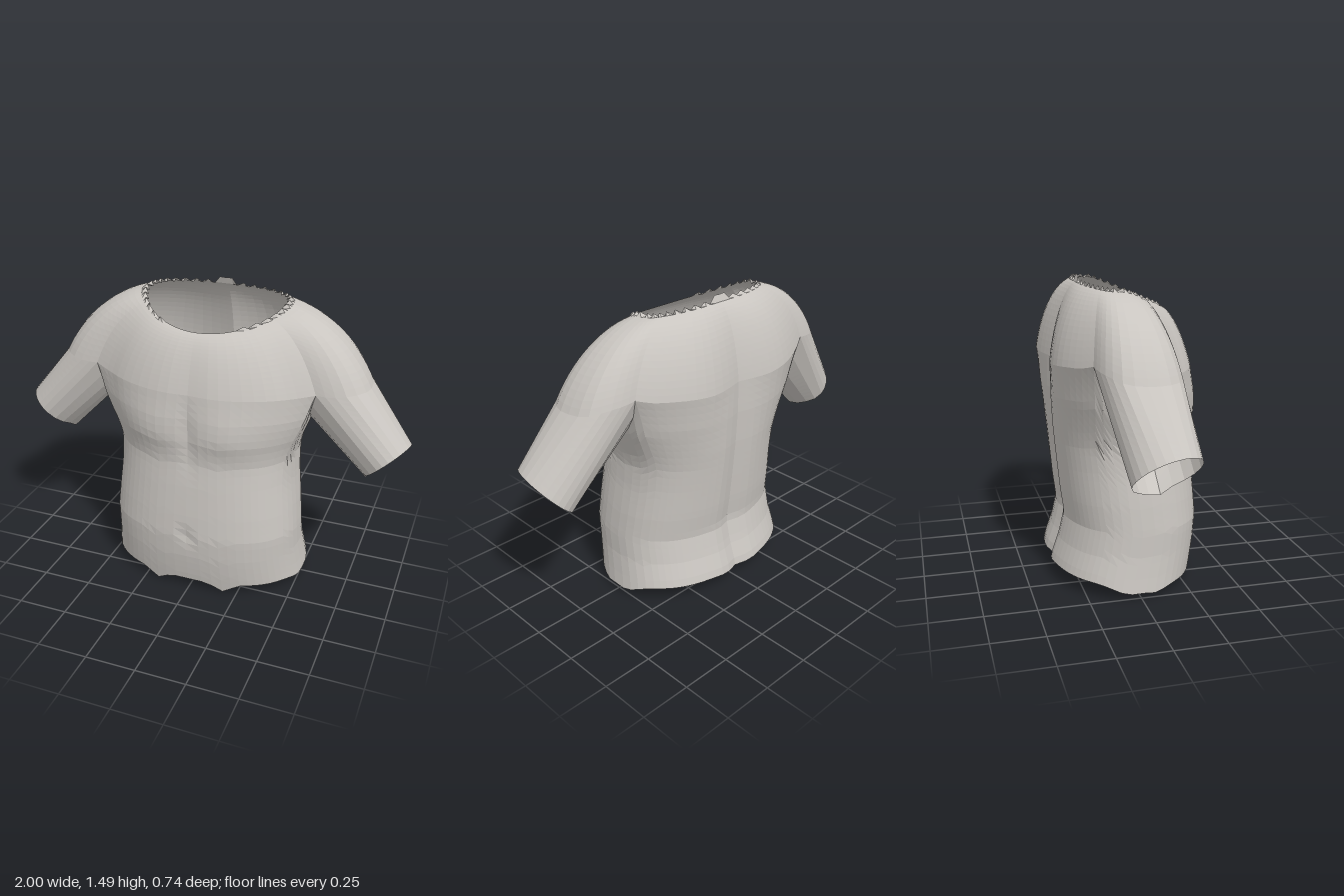
import * as THREE from 'three';

const V = (x, y, z) => new THREE.Vector3(x, y, z);
const curve = (pts, n) => new THREE.CatmullRomCurve3(pts.map(p => V(...p))).getPoints(n);
const lerp = THREE.MathUtils.lerp;
const bell = (d, w) => Math.exp(-(d * d) / (w * w));
const spow = (v, p) => Math.sign(v) * Math.abs(v) ** p;

const FRONT = 12, SIDE = 8, OUTER = 14, BACK = 12;

// Row of points on the model's left half at armpit level, split into four runs
const chestLine = curve([[0, 1.08, 0.325], [0.12, 1.08, 0.33], [0.25, 1.08, 0.305], [0.37, 1.08, 0.255], [0.47, 1.08, 0.19], [0.56, 1.09, 0.14]], FRONT);
const underarm = curve([[0.56, 1.09, 0.14], [0.53, 0.99, 0.1], [0.515, 0.93, 0.03], [0.515, 0.92, -0.06], [0.53, 1.0, -0.17], [0.56, 1.15, -0.24]], SIDE);
const armLine = curve([[0.56, 1.09, 0.14], [0.64, 1.09, 0.137], [0.72, 1.1, 0.11], [0.78, 1.1, 0.03], [0.785, 1.1, -0.06], [0.76, 1.11, -0.15], [0.69, 1.13, -0.205], [0.62, 1.14, -0.23], [0.56, 1.15, -0.24]], OUTER);
const backLine = curve([[0.56, 1.15, -0.24], [0.49, 1.13, -0.28], [0.4, 1.12, -0.322], [0.3, 1.11, -0.355], [0.19, 1.1, -0.365], [0.08, 1.1, -0.35], [0, 1.1, -0.33]], BACK);

// Torso levels: height, half width, front depth, back depth
const levels = [
  [0.0, 0.52, 0.335, -0.385], [0.1, 0.505, 0.355, -0.365], [0.2, 0.492, 0.37, -0.33], [0.32, 0.488, 0.378, -0.302],
  [0.45, 0.475, 0.368, -0.32], [0.6, 0.455, 0.353, -0.335], [0.72, 0.447, 0.338, -0.346], [0.79, 0.46, 0.338, -0.352],
  [0.85, 0.48, 0.342, -0.355], [0.95, 0.51, 0.338, -0.36], [1.2, 0.53, 0.31, -0.36]];

function levelAt(y) {
  let i = 0;
  while (i < levels.length - 2 && y > levels[i + 1][0]) i++;
  const [a, b] = [levels[i], levels[i + 1]];
  const t = THREE.MathUtils.clamp((y - a[0]) / (b[0] - a[0]), 0, 1);
  return a.map((v, k) => lerp(v, b[k], t));
}

// Point on the torso at a height and angle, with chest, navel and spine relief
function torsoPoint(y, angle) {
  const [, w, front, back] = levelAt(y);
  const mid = (front + back) / 2, depth = (front - back) / 2;
  const x = w * spow(Math.sin(angle), 0.85);
  let z = mid + depth * spow(Math.cos(angle), 0.85);
  if (Math.cos(angle) > 0) {
    z += 0.02 * bell(x - 0.2, 0.15) * bell(y - 0.87, y < 0.87 ? 0.1 : 0.17);
    z -= 0.012 * bell(x, 0.04) * bell(y - 0.87, 0.15);
    z -= 0.012 * bell(x, 0.025) * bell(y - 0.33, 0.04);
  } else {
    z += 0.03 * bell(x, 0.06);
  }
  return V(x, y, z);
}

// Closes a left-half row into a full ring by mirroring
const mirrorRow = half => [...half, ...half.slice(0, -1).reverse().map(p => V(-p.x, p.y, p.z))];

// Surface through rows of points
function sheet(rows, material, name) {
  const n = rows[0].length, index = [];
  for (let r = 0; r < rows.length - 1; r++) {
    for (let c = 0; c < n - 1; c++) {
      const a = r * n + c;
      index.push(a, a + 1, a + n, a + 1, a + n + 1, a + n);
    }
  }
  const g = new THREE.BufferGeometry().setFromPoints(rows.flat());
  g.setIndex(index);
  g.computeVertexNormals();
  const mesh = new THREE.Mesh(g, material);
  mesh.name = name;
  return mesh;
}

// Spreads angles over runs of columns, with shared ends
function spread(counts, stops) {
  const out = [stops[0]];
  counts.forEach((n, k) => {
    for (let i = 1; i <= n; i++) out.push(lerp(stops[k], stops[k + 1], i / n));
  });
  return out;
}

// Ragged lower edge
function hemHeight(angle) {
  const x = 0.52 * Math.sin(angle);
  return Math.cos(angle) > 0
    ? 0.05 - 0.05 * bell(x - 0.15, 0.05) - 0.025 * bell(angle - 1.4, 0.2)
    : 0.08 - 0.05 * bell(angle - 1.6, 0.3) - 0.015 * bell(angle - Math.PI, 0.2);
}

function torsoRows() {
  const top = [...chestLine, ...underarm.slice(1), ...backLine.slice(1)];
  const angles = spread([FRONT, SIDE, BACK], [0, 1.15, 2.1, Math.PI]);
  const rows = [], count = 26;
  for (let r = 0; r <= count; r++) {
    const t = r / count, fade = (1 - t) ** 4;
    rows.push(mirrorRow(top.map((p, c) => {
      const q = torsoPoint(lerp(p.y, hemHeight(angles[c]), t), angles[c]);
      const base = torsoPoint(p.y, angles[c]);
      q.x += (p.x - base.x) * fade;
      q.z += (p.z - base.z) * fade;
      return q;
    })));
  }
  return rows.reverse();
}

// Neckline: tapered scoop in front, broad and nearly straight behind
function neckPoint(angle) {
  const k = Math.cos(angle);
  const y = k > 0 ? 1.45 - 0.106 * k ** 1.3 : 1.45 + 0.015 * -k;
  const z = k > 0 ? 0.25 * k ** 1.25 : -0.145 * (-k) ** 0.55;
  return V(0.35 * Math.sin(angle), y, -0.05 + z);
}

function yokeRows() {
  const base = [...chestLine, ...armLine.slice(1), ...backLine.slice(1)];
  const angles = spread([FRONT, OUTER, BACK], [0, 1.05, 2.1, Math.PI]);
  const rows = [], count = 16;
  for (let r = 0; r <= count; r++) {
    const t = r / count;
    const rise = lerp(t, Math.sin(t * Math.PI / 2), 0.8), round = 1 - Math.cos(t * Math.PI / 2);
    rows.push(mirrorRow(base.map((p, c) => {
      const a = angles[c], q = neckPoint(a);
      const inward = lerp(t, round, 0.45 - 0.15 * Math.cos(a));
      const v = V(lerp(p.x, q.x, inward), lerp(p.y, q.y, rise), lerp(p.z, q.z, inward));
      // Ragged last row
      if (r === count && a > 0.6) {
        const jag = c % 2 ? 0.012 : -0.008;
        v.x += jag * Math.sin(a);
        v.y += jag + 0.035 * bell(a - Math.PI, 0.1);
      }
      return v;
    })));
  }
  return rows;
}

function sleeveRows(side) {
  const start = [...armLine, ...underarm.slice(0, -1).reverse()];
  const angles = spread([OUTER, SIDE], [-0.15, Math.PI + 0.15, 2 * Math.PI - 0.15]);
  const rows = [], count = 12;
  for (let r = 0; r <= count; r++) {
    const t = r / count;
    rows.push(start.map((p, c) => {
      const s = Math.sin(angles[c]), k = Math.cos(angles[c]);
      const drop = 0.025 * bell(angles[c] - 4.6, 0.25);
      const cuff = V(0.898 + 0.1 * s - 0.01 * k, 0.745 + 0.095 * s + 0.03 * k - drop, -0.005 + 0.155 * k);
      const q = p.clone().lerp(cuff, t);
      q.x *= side;
      return q;
    }));
  }
  return side > 0 ? rows.reverse() : rows;
}

export function createModel() {
  const cloth = new THREE.MeshStandardMaterial({ color: 0xc9c5c0, side: THREE.DoubleSide, flatShading: true });
  cloth.name = 'light grey cloth';
  const model = new THREE.Group();
  model.name = 'shirt';
  model.add(
    sheet(torsoRows(), cloth, 'torso'),
    sheet(yokeRows(), cloth, 'shouldersAndNeckline'),
    sheet(sleeveRows(1), cloth, 'leftSleeve'),
    sheet(sleeveRows(-1), cloth, 'rightSleeve'));
  return model;
}
